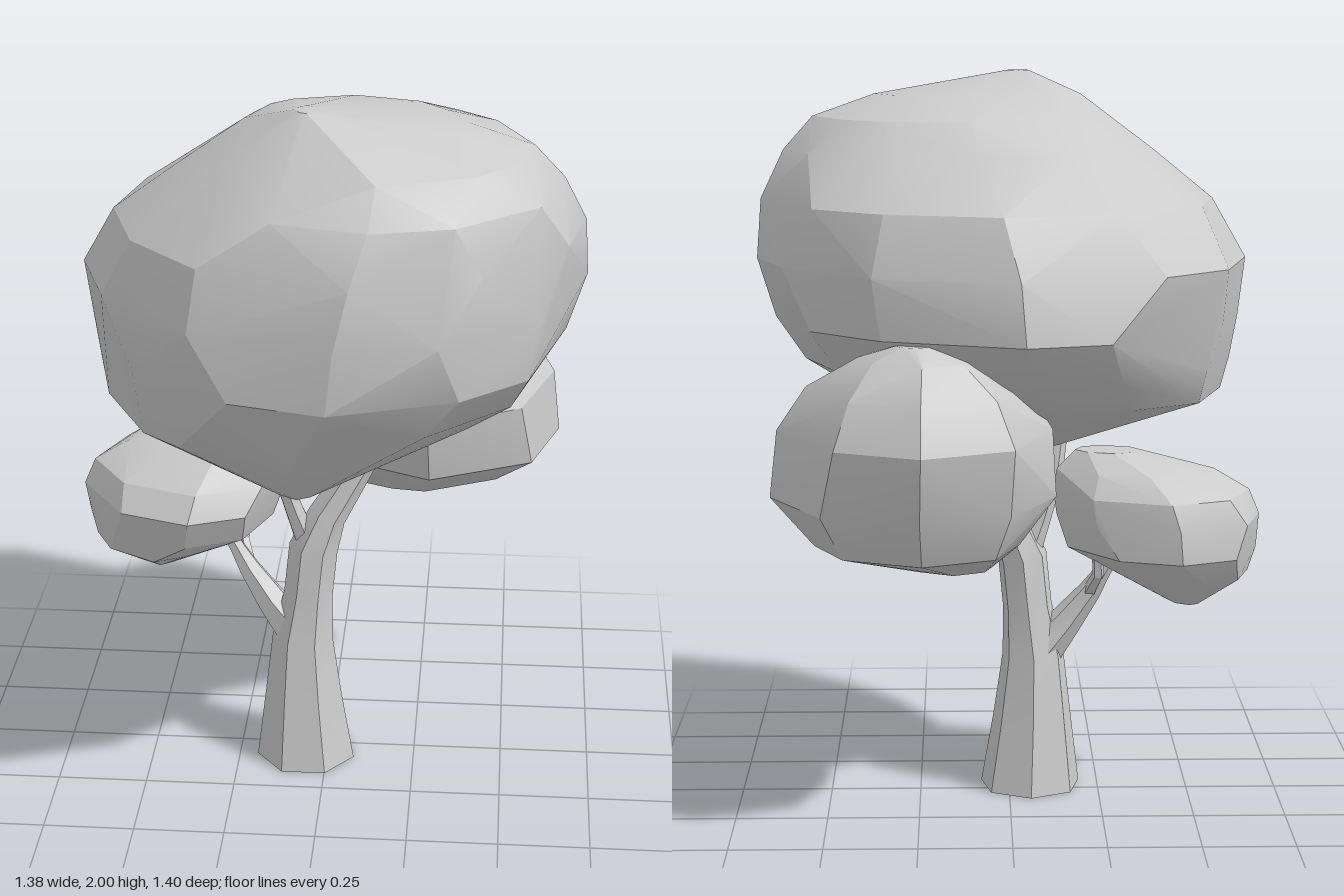
import * as THREE from 'three';
import { toCreasedNormals } from 'three/addons/utils/BufferGeometryUtils.js';
import { ConvexGeometry } from 'three/addons/geometries/ConvexGeometry.js';

const material = new THREE.MeshStandardMaterial({ color: 0xcccccc });

// Small seeded noise in 0..1
function seeded(seed) {
  return () => (seed = (seed * 16807) % 2147483647) / 2147483647;
}

function part(name, geometry, crease) {
  const mesh = new THREE.Mesh(toCreasedNormals(geometry, crease), material);
  mesh.name = name;
  return mesh;
}

// Faceted leaf mass: hull of irregular rings [y, xMin, xMax, zMin, zMax].
// Skew pushes the front of each ring towards +x and the back towards -x.
function foliage(name, levels, sides, skew, seed) {
  const random = seeded(seed);
  const points = levels.flatMap(([y, x0, x1, z0, z1]) =>
    Array.from({ length: sides }, (_, j) => {
      const loose = j % (sides / 4) === 0 ? 0 : 1;   // the four extremes stay exact
      const a = (j / sides) * Math.PI * 2 + loose * (random() - 0.5) * 0.3;
      const r = 1 - loose * random() * 0.05;
      const rx = (x1 - x0) / 2, rz = (z1 - z0) / 2;
      return new THREE.Vector3(
        (x0 + x1) / 2 + r * (rx * Math.cos(a) + skew * rx * Math.sin(a)),
        y,
        (z0 + z1) / 2 + r * rz * Math.sin(a));
    }));
  return part(name, new ConvexGeometry(points), 0.36);
}

// Tapered limb through stations of [x, y, z, radius], closed at both ends
function limb(name, stations, sides) {
  const p = stations.map(s => new THREE.Vector3(s[0], s[1], s[2]));
  const points = [], index = [];
  stations.forEach(([, , , r], i) => {
    const t = p[Math.min(i + 1, p.length - 1)].clone().sub(p[Math.max(i - 1, 0)]).normalize();
    if (p[i].y === 0) t.set(0, 1, 0);
    const v = new THREE.Vector3(0, 0, 1).addScaledVector(t, -t.z).normalize();
    const u = new THREE.Vector3().crossVectors(t, v);
    for (let j = 0; j < sides; j++) {
      const a = ((j + 0.25) / sides) * Math.PI * 2;
      points.push(p[i].clone().addScaledVector(u, r * Math.cos(a)).addScaledVector(v, r * Math.sin(a)));
    }
  });
  const top = points.length - sides, base = points.length;
  points.push(p[0], p.at(-1));
  for (let j = 0; j < sides; j++) {
    const k = (j + 1) % sides;
    for (let i = 0; i < top; i += sides) {
      index.push(i + j, i + sides + j, i + k, i + k, i + sides + j, i + sides + k);
    }
    index.push(base, j, k, base + 1, top + k, top + j);
  }
  const geometry = new THREE.BufferGeometry().setFromPoints(points);
  geometry.setIndex(index);
  return part(name, geometry, 0.4);
}

export function createModel() {
  const tree = new THREE.Group();
  tree.name = 'tree';

  // Trunk and branches
  tree.add(
    limb('trunk', [
      [-0.06, 0, 0.045, 0.142], [-0.066, 0.2, 0.045, 0.112], [-0.068, 0.38, 0.045, 0.088],
      [-0.052, 0.52, 0.045, 0.07], [-0.038, 0.66, 0.042, 0.07], [0.0, 0.76, 0.04, 0.055],
      [0.1, 0.93, 0.03, 0.042]], 7),
    limb('crownBranch', [
      [-0.04, 0.64, 0.045, 0.04], [-0.09, 0.77, 0.05, 0.028], [-0.125, 0.88, 0.06, 0.024],
      [-0.15, 1.04, 0.1, 0.02]], 6),
    limb('sideBranch', [
      [-0.09, 0.4, 0.04, 0.065], [-0.16, 0.48, 0.03, 0.046], [-0.225, 0.57, 0.01, 0.032],
      [-0.255, 0.62, 0, 0.024], [-0.3, 0.7, -0.01, 0.018]], 6),
    limb('sideTwig', [
      [-0.22, 0.56, 0.01, 0.022], [-0.245, 0.63, -0.05, 0.017], [-0.24, 0.72, -0.07, 0.014]], 5));

  // Large crown
  tree.add(foliage('crown', [
    [0.97, -0.15, 0.03, 0.02, 0.4], [1.13, -0.59, 0.42, -0.34, 0.54], [1.22, -0.61, 0.56, -0.46, 0.6],
    [1.34, -0.63, 0.64, -0.59, 0.7], [1.5, -0.65, 0.69, -0.575, 0.7], [1.66, -0.56, 0.68, -0.5, 0.69],
    [1.79, -0.4, 0.62, -0.33, 0.63], [1.88, -0.28, 0.54, -0.2, 0.54], [1.94, -0.2, 0.37, -0.04, 0.41],
    [2, -0.06, 0, 0.27, 0.34]], 12, 0.06, 11));

  // Lower leaf mass at the back
  tree.add(foliage('backFoliage', [
    [0.72, 0.05, 0.27, -0.43, -0.22], [0.78, -0.02, 0.52, -0.59, -0.08], [0.9, -0.12, 0.64, -0.66, 0.1],
    [1.08, -0.11, 0.62, -0.7, 0.15], [1.2, -0.04, 0.54, -0.65, 0.06],
    [1.29, 0.08, 0.4, -0.57, -0.2], [1.33, 0.2, 0.3, -0.5, -0.42]], 8, 0.06, 37));

  // Small leaf mass on the side branch
  tree.add(foliage('sideFoliage', [
    [0.56, -0.53, -0.44, -0.12, 0], [0.64, -0.66, -0.34, -0.21, 0.14], [0.71, -0.68, -0.16, -0.29, 0.19],
    [0.8, -0.69, -0.13, -0.29, 0.23], [0.87, -0.66, -0.12, -0.27, 0.19], [0.93, -0.56, -0.13, -0.2, 0.11],
    [0.98, -0.36, -0.18, -0.1, 0.03]], 8, 0.15, 73));

  return tree;
}
